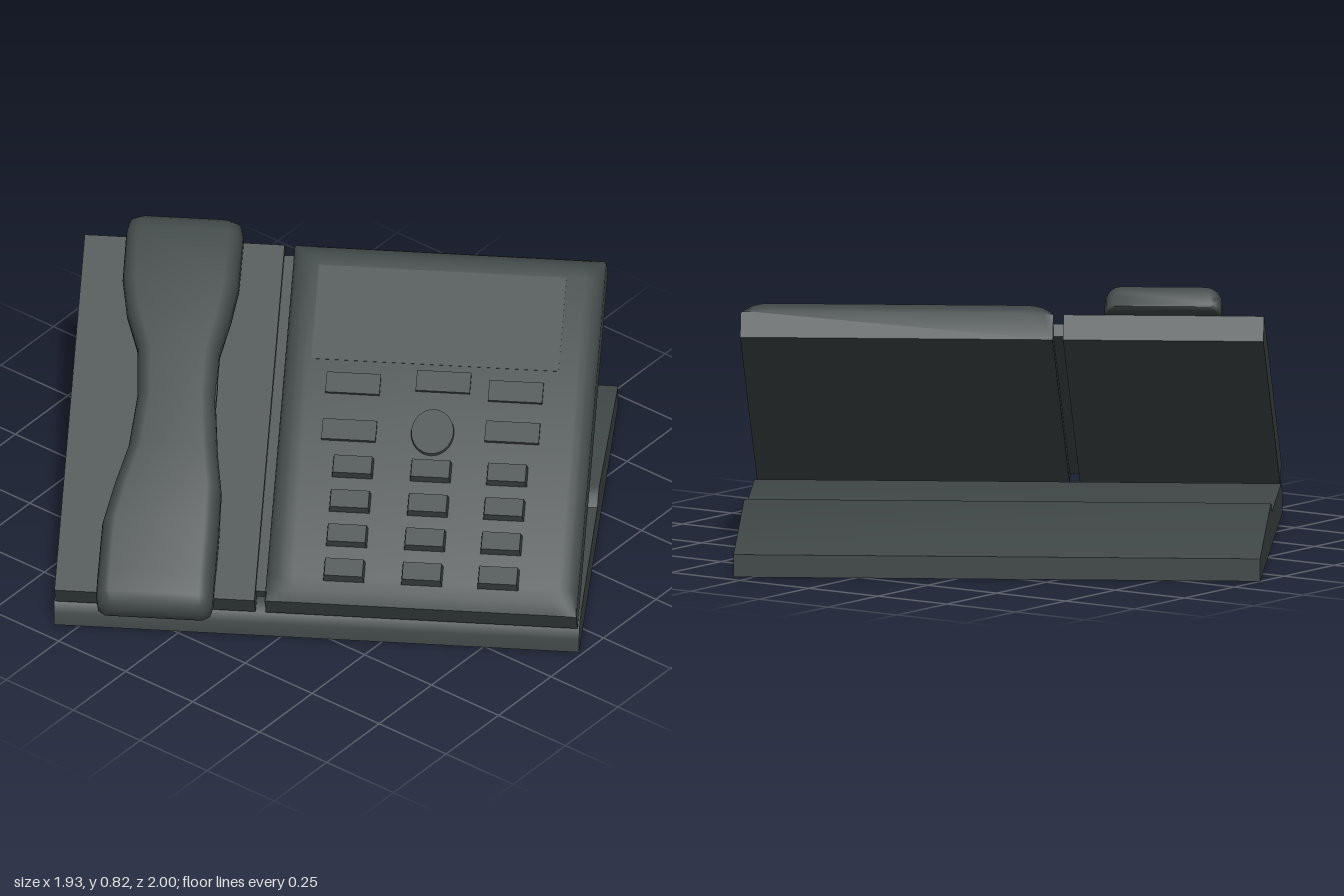
import * as THREE from 'three';
import { toCreasedNormals } from 'three/addons/utils/BufferGeometryUtils.js';

const charcoal = new THREE.MeshStandardMaterial({ color: 0x414848 });
charcoal.name = 'charcoal plastic';

function add(parent, name, geometry, x = 0, y = 0, z = 0) {
  const mesh = new THREE.Mesh(geometry, charcoal);
  mesh.name = name;
  mesh.position.set(x, y, z);
  parent.add(mesh);
  return mesh;
}

// Skin a solid through rings of [x, y]; each section is { s, ring }, s runs up the slope (-z)
function loft(sections, crease) {
  const pos = [];
  const n = sections[0].ring.length;
  const put = (i, j) => pos.push(...sections[i].ring[j % n], -sections[i].s);
  const tri = (a, b, c) => [a, b, c].forEach(([i, j]) => put(i, j));
  const last = sections.length - 1;
  for (let i = 0; i < last; i++) {
    for (let j = 0; j < n; j++) {
      tri([i, j], [i + 1, j], [i + 1, j + 1]);
      tri([i, j], [i + 1, j + 1], [i, j + 1]);
    }
  }
  for (let j = 1; j < n - 1; j++) {
    tri([0, 0], [0, j], [0, j + 1]);
    tri([last, 0], [last, j + 1], [last, j]);
  }
  const geometry = new THREE.BufferGeometry();
  geometry.setAttribute('position', new THREE.Float32BufferAttribute(pos, 3));
  return toCreasedNormals(geometry, crease);
}

// Rounded rectangle ring, counter-clockwise
function roundedRing(l, r, b, t, rx, ry, low) {
  const ring = [];
  const corner = (cx, cy, ax, ay, start) => {
    for (let k = 0; k <= 4; k++) {
      const a = start + (k / 4) * Math.PI / 2;
      ring.push([cx + ax * Math.cos(a), cy + ay * Math.sin(a)]);
    }
  };
  corner(l + low, b + low, low, low, Math.PI);
  corner(r - low, b + low, low, low, 1.5 * Math.PI);
  corner(r - rx, t - ry, rx, ry, 0);
  corner(l + rx, t - ry, rx, ry, Math.PI / 2);
  return ring;
}

// Wedge foot: side profile swept across the width
function buildBase(parent) {
  const profile = [[0.622, 0], [0.622, 0.045], [0.61, 0.073], [0.585, 0.092], [0.55, 0.1], [0.025, 0.1],
    [0.0, 0.124], [-0.035, 0.135], [-0.644, 0.067], [-0.644, 0]];
  const shape = new THREE.Shape(profile.map(([z, y]) => new THREE.Vector2(-z, y)));
  const geometry = new THREE.ExtrudeGeometry(shape, { depth: 1.55, bevelEnabled: false });
  geometry.rotateY(Math.PI / 2);
  add(parent, 'base', toCreasedNormals(geometry, 0.6), -0.775, 0, 0);
}

// Main console: slab with a softly crowned top
function buildConsole(parent) {
  const stations = [[0, 0.003], [0.03, 0.024], [0.07, 0.038], [1.07, 0.05], [1.11, 0.042], [1.135, 0.02], [1.144, 0.003]];
  const sections = stations.map(([s, h]) => {
    const ring = [[-0.15, 0], [0.77, 0]];
    for (let k = 0; k <= 5; k++) {
      const a = (k / 5) * Math.PI / 2;
      ring.push([0.69 + 0.08 * Math.cos(a), 0.08 + h * Math.sin(a)]);
    }
    for (let k = 0; k <= 5; k++) {
      const a = Math.PI / 2 + (k / 5) * Math.PI / 2;
      ring.push([-0.07 + 0.08 * Math.cos(a), 0.08 + h * Math.sin(a)]);
    }
    return { s, ring };
  });
  add(parent, 'console', loft(sections, 0.6));
  // display lies flush along the slight rise of the crown
  add(parent, 'display', new THREE.BoxGeometry(0.73, 0.008, 0.3), 0.295, 0.1255, -0.915)
    .rotation.x = 0.012;
}

// Number keys, function keys and the round navigation key
function buildKeys(parent) {
  // tapered key cap
  const cap = new THREE.BoxGeometry(0.125, 0.05, 0.066);
  const p = cap.attributes.position;
  for (let i = 0; i < p.count; i++) {
    if (p.getY(i) > 0) {
      p.setX(i, p.getX(i) * 0.9);
      p.setZ(i, p.getZ(i) * 0.85);
    }
  }
  cap.computeVertexNormals();
  for (const x of [0.08, 0.31, 0.535]) {
    for (let row = 0; row < 4; row++) {
      add(parent, 'numberKey', cap, x, 0.124 + row * 0.001, -(0.092 + row * 0.11));
    }
  }
  const wide = new THREE.BoxGeometry(0.16, 0.03, 0.065);
  for (const [x, s] of [[0.06, 0.54], [0.06, 0.69], [0.325, 0.71], [0.54, 0.56], [0.54, 0.69]]) {
    add(parent, 'functionKey', wide, x, 0.12, -s);
  }
  add(parent, 'navigationKey', new THREE.CylinderGeometry(0.062, 0.066, 0.03, 32), 0.305, 0.12, -0.548)
    .scale.z = 1.15;
}

// Cradle slab with its joining strip
function buildCradle(parent) {
  add(parent, 'cradle', new THREE.BoxGeometry(0.59, 0.08, 1.144), -0.475, 0.04, -0.572);
  add(parent, 'joiningStrip', new THREE.BoxGeometry(0.04, 0.04, 1.08), -0.165, 0.04, -0.58);
}

// Arched handset with a narrower grip
function buildHandset(parent) {
  // slope position, left, right, underside, top
  const stations = [
    [-0.065, -0.62, -0.325, 0.062, 0.112], [-0.05, -0.638, -0.307, 0.053, 0.13],
    [-0.02, -0.645, -0.3, 0.052, 0.146], [0.04, -0.645, -0.3, 0.062, 0.156],
    [0.2, -0.642, -0.298, 0.082, 0.178], [0.32, -0.615, -0.3, 0.1, 0.191],
    [0.44, -0.582, -0.32, 0.118, 0.199], [0.6, -0.568, -0.338, 0.125, 0.202],
    [0.75, -0.58, -0.338, 0.118, 0.2], [0.87, -0.622, -0.315, 0.1, 0.194],
    [0.98, -0.643, -0.301, 0.084, 0.184], [1.14, -0.645, -0.3, 0.08, 0.17],
    [1.175, -0.638, -0.307, 0.082, 0.158], [1.19, -0.62, -0.325, 0.09, 0.138],
  ];
  const sections = stations.map(([s, l, r, b, t]) => ({
    s, ring: roundedRing(l, r, b, t, 0.04, (t - b) * 0.55, 0.008),
  }));
  add(parent, 'handset', loft(sections, 0.9));
  add(parent, 'handsetInset', new THREE.BoxGeometry(0.008, 0.022, 0.1), -0.339, 0.155, -0.6);
}

export function createModel() {
  const model = new THREE.Group();
  model.name = 'deskPhone';
  const phone = new THREE.Group();
  phone.name = 'turnedPhone';
  phone.rotation.y = -0.997;
  model.add(phone);
  buildBase(phone);

  // Everything above the foot leans back on one slope
  const slope = new THREE.Group();
  slope.name = 'slopedUnit';
  slope.position.set(0, 0.08, 0.615);
  slope.rotation.x = 0.541;
  phone.add(slope);
  buildConsole(slope);
  buildKeys(slope);
  buildCradle(slope);
  buildHandset(slope);
  return model;
}
